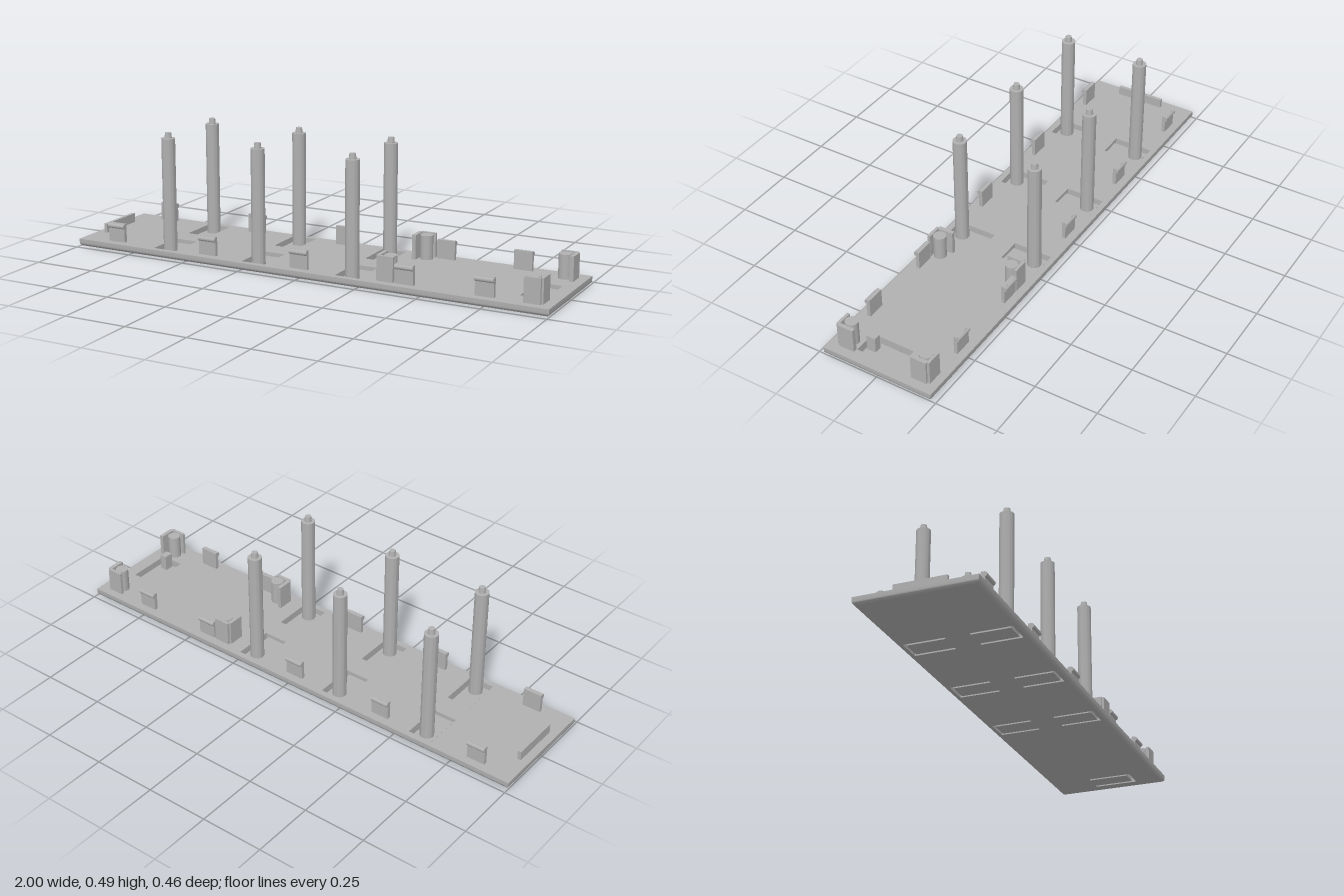
import * as THREE from 'three';
import { toCreasedNormals } from 'three/addons/utils/BufferGeometryUtils.js';

const grey = new THREE.MeshStandardMaterial({ color: 0xb0b0b0 });
grey.name = 'grey plastic';

const THICK = 0.03;
const TONGUE = 0.014;
const POST_X = [-0.607, -0.205, 0.198];
const CLIP_X = [-0.84, -0.416, -0.013, 0.427, 0.743];

function add(parent, name, geometry) {
  const mesh = new THREE.Mesh(geometry, grey);
  mesh.name = name;
  parent.add(mesh);
  return mesh;
}

// box given by its limits on each axis
function block(parent, name, x0, x1, y0, y1, z0, z1) {
  const g = new THREE.BoxGeometry(Math.abs(x1 - x0), y1 - y0, Math.abs(z1 - z0));
  g.translate((x0 + x1) / 2, (y0 + y1) / 2, (z0 + z1) / 2);
  return add(parent, name, g);
}

function rectangle(target, x0, x1, z0, z1) {
  target.moveTo(x0, z0);
  target.lineTo(x1, z0);
  target.lineTo(x1, z1);
  target.lineTo(x0, z1);
  target.closePath();
  return target;
}

// plate with slots and a rounded lower rim
function plateGeometry(slots) {
  const shape = rectangle(new THREE.Shape(), -1, 1, -0.23, 0.23);
  for (const s of slots) shape.holes.push(rectangle(new THREE.Path(), ...s));
  const steps = 5;
  const g = new THREE.ExtrudeGeometry(shape, { depth: THICK, steps, bevelEnabled: false });
  g.rotateX(Math.PI / 2);
  g.translate(0, THICK, 0);
  const r = 0.014;
  const p = g.attributes.position;
  for (let i = 0; i < p.count; i++) {
    const layer = Math.round((p.getY(i) / THICK) * steps);
    if (layer === steps) continue;
    const a = (layer / (steps - 1)) * Math.PI / 2;
    const inset = r * (1 - Math.sin(a));
    const x = p.getX(i), z = p.getZ(i);
    p.setY(i, r * (1 - Math.cos(a)));
    if (Math.abs(x) > 0.99) p.setX(i, x - Math.sign(x) * inset);
    if (Math.abs(z) > 0.22) p.setZ(i, z - Math.sign(z) * inset);
  }
  return toCreasedNormals(g, 0.6);
}

// tall post with a tapered tip
function postGeometry() {
  const profile = [[0, 0], [0.027, 0], [0.027, 0.47 - TONGUE], [0.0145, 0.47 - TONGUE],
    [0.012, 0.492 - TONGUE], [0, 0.492 - TONGUE]].map(([x, y]) => new THREE.Vector2(x, y));
  return toCreasedNormals(new THREE.LatheGeometry(profile, 28), 0.6);
}

// snap clip: upright tab with a rounded ridge on its outer face
function addClip(parent, x, side) {
  const clip = new THREE.Group();
  clip.name = 'snapClip';
  block(clip, 'clipTab', x - 0.037, x + 0.037, THICK - 0.002, 0.105, side * 0.182, side * 0.197);
  const ridge = new THREE.CylinderGeometry(0.01, 0.01, 0.074, 16);
  ridge.rotateZ(Math.PI / 2);
  ridge.translate(x, 0.0945, side * 0.1955);
  add(clip, 'clipRidge', ridge);
  parent.add(clip);
}

// corner bracket: two walls around a round peg; dir points from the wall to the peg
function addBracket(parent, wallX, dir, side) {
  const bracket = new THREE.Group();
  bracket.name = 'cornerBracket';
  const y0 = THICK - 0.002;
  block(bracket, 'bracketEndWall', wallX, wallX + dir * 0.016, y0, 0.127, side * 0.123, side * 0.188);
  block(bracket, 'bracketSideWall', wallX + dir * 0.008, wallX + dir * 0.072, y0, 0.127, side * 0.186, side * 0.198);
  const peg = new THREE.CylinderGeometry(0.025, 0.025, 0.125 - y0, 24);
  peg.translate(wallX + dir * 0.046, (0.125 + y0) / 2, side * 0.16);
  add(bracket, 'bracketPeg', peg);
  parent.add(bracket);
}

export function createModel() {
  const model = new THREE.Group();
  model.name = 'springPlate';
  const slots = [];

  // spring tongues with their posts
  const post = postGeometry();
  for (const x of POST_X) {
    for (const side of [1, -1]) {
      const z = [side * 0.047, side * 0.207];
      slots.push([x - 0.05, x + 0.05, Math.min(...z), Math.max(...z)]);
      block(model, 'springTongue', x - 0.039, x + 0.039, 0, TONGUE, side * 0.046, side * 0.197);
      add(model, 'post', post).position.set(x, TONGUE, side * 0.163);
    }
  }

  // button tongue at the right end
  slots.push([0.85, 0.946, -0.057, 0.12]);
  block(model, 'buttonTongue', 0.863, 0.933, 0, TONGUE, -0.058, 0.105);
  block(model, 'buttonStub', 0.883, 0.912, TONGUE - 0.002, 0.078, 0.065, 0.103);

  add(model, 'basePlate', plateGeometry(slots));

  // low wall at the left end
  block(model, 'endWall', -0.968, -0.954, THICK - 0.002, 0.067, -0.097, 0.103);

  for (const side of [1, -1]) {
    for (const x of CLIP_X) addClip(model, x, side);
    addBracket(model, 0.31, 1, side);
    addBracket(model, 0.963, -1, side);
  }
  return model;
}
